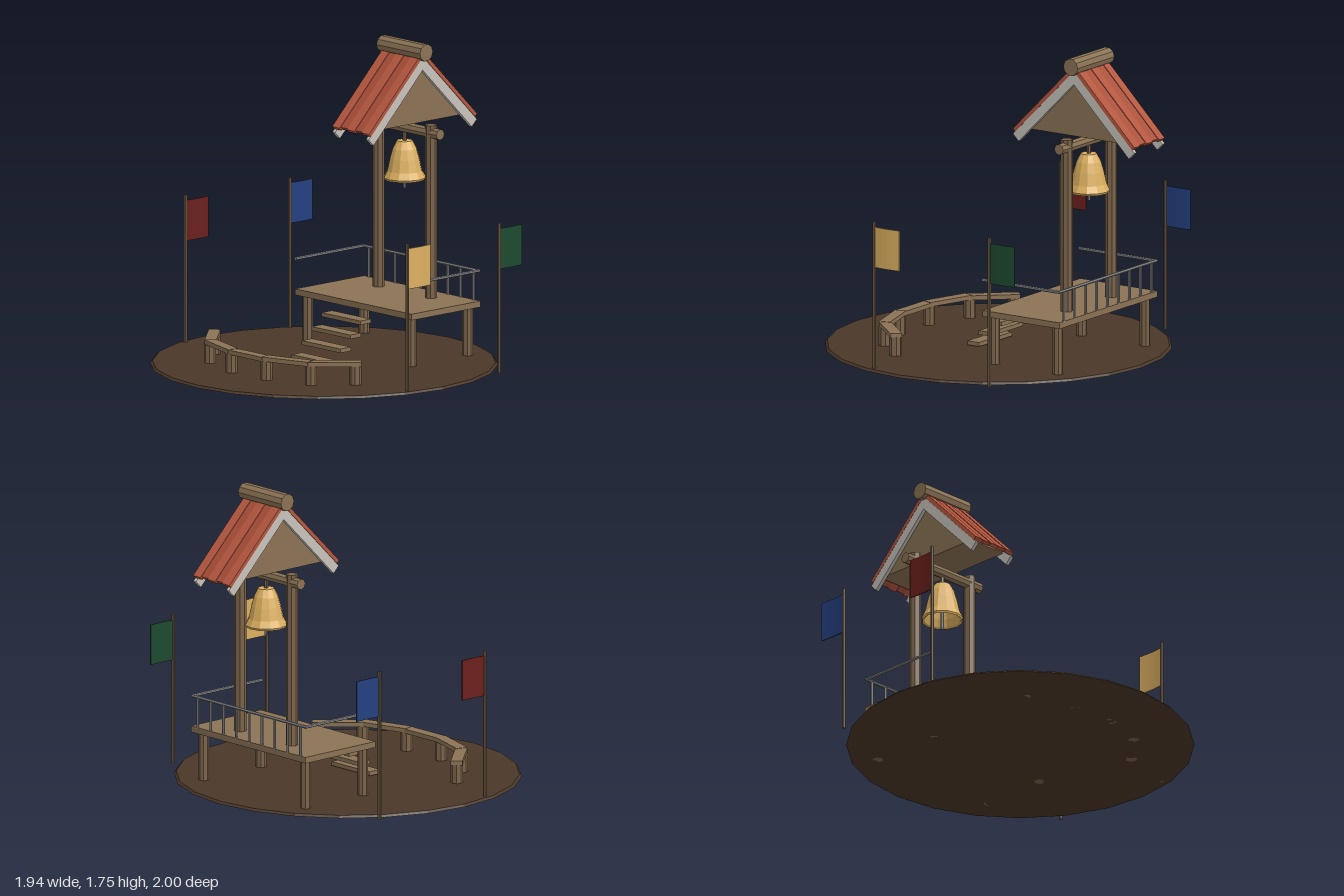
import * as THREE from 'three';

const paint = (color, side = THREE.FrontSide) =>
  new THREE.MeshStandardMaterial({ color, flatShading: true, side });
const wood = paint(0x8b7355), post = paint(0x7a6349), earth = paint(0x4a3728);
const steel = paint(0x8c8c8c), trim = paint(0xc8c4bc), gold = paint(0xdcb060, THREE.DoubleSide);

function add(parent, name, geometry, material, x = 0, y = 0, z = 0) {
  const mesh = new THREE.Mesh(geometry, material);
  mesh.name = name;
  mesh.position.set(x, y, z);
  parent.add(mesh);
  return mesh;
}
const box = (p, name, mat, w, h, d, x, y, z) => add(p, name, new THREE.BoxGeometry(w, h, d), mat, x, y, z);

// Round bar between two points
function bar(parent, name, mat, a, b, r, sides = 8) {
  const from = new THREE.Vector3(...a), to = new THREE.Vector3(...b);
  const dir = to.clone().sub(from);
  const mesh = add(parent, name, new THREE.CylinderGeometry(r, r, dir.length(), sides), mat);
  mesh.position.copy(from).add(to).multiplyScalar(0.5);
  mesh.quaternion.setFromUnitVectors(new THREE.Vector3(0, 1, 0), dir.normalize());
  return mesh;
}

function group(parent, name) {
  const g = new THREE.Group();
  g.name = name;
  parent.add(g);
  return g;
}

const TOWER_Z = -0.585;

function buildPlatform(root) {
  const g = group(root, 'platform');
  box(g, 'deck', wood, 0.945, 0.035, 0.525, 0, 0.3025, -0.457);
  for (const x of [-0.42, 0.42])
    for (const z of [-0.24, -0.67]) bar(g, 'platformLeg', post, [x, 0, z], [x, 0.287, z], 0.03);

  // Railing on the back and both sides
  const y = 0.492, back = -0.712;
  bar(g, 'backRail', steel, [-0.472, y, back], [0.472, y, back], 0.009, 6);
  for (const x of [-0.467, 0.467]) bar(g, 'sideRail', steel, [x, y, -0.19], [x, y, -0.718], 0.009, 6);
  for (let i = -4; i <= 4; i++)
    bar(g, 'railPost', steel, [i * 0.106, 0.31, back], [i * 0.106, y, back], 0.008, 6);

  // Floating steps
  for (let i = 0; i < 4; i++)
    box(g, 'step', wood, 0.315, 0.023, 0.08, 0, 0.03 + i * 0.0685, 0.09 - i * 0.0765);
}

function buildTower(root) {
  const g = group(root, 'bellTower');
  for (const x of [-0.213, 0.213]) bar(g, 'towerPost', post, [x, 0.31, TOWER_Z], [x, 1.3, TOWER_Z], 0.034);
  bar(g, 'crossBeam', wood, [-0.29, 1.255, TOWER_Z], [0.29, 1.255, TOWER_Z], 0.031);

  // Hollow bell and its clapper
  const profile = [[0.001, 1.18], [0.045, 1.18], [0.068, 1.135], [0.084, 1.08], [0.099, 1.01],
    [0.118, 0.972], [0.113, 0.96], [0.102, 0.968], [0.087, 1.01], [0.072, 1.08], [0.035, 1.165], [0.001, 1.165]];
  const bell = new THREE.LatheGeometry(profile.map(p => new THREE.Vector2(...p)).reverse(), 12);
  add(g, 'bell', bell, gold, 0, 0, TOWER_Z);
  bar(g, 'bellHanger', post, [0, 1.17, TOWER_Z], [0, 1.24, TOWER_Z], 0.012, 6);
  bar(g, 'clapper', steel, [0, 0.91, TOWER_Z], [0, 1.17, TOWER_Z], 0.009, 6);
}

function buildRoof(root) {
  const g = group(root, 'roof');
  g.position.set(0, 1.676, TOWER_Z);
  const reds = [paint(0xb5573f), paint(0xa94f39)];

  for (const turn of [0, Math.PI]) {
    const side = group(g, 'roofSide');
    side.rotation.y = turn;
    const slope = group(side, 'roofSlope');
    slope.rotation.x = Math.PI / 4;
    // Planks with uneven ends
    for (let i = 0; i < 5; i++) {
      const len = 0.562 - (i % 2) * 0.008;
      const plank = box(slope, 'roofPlank', reds[i % 2], 0.059, 0.022, len, (i - 2) * 0.0595, 0.011 - (i % 2) * 0.003, len / 2);
      plank.rotation.z = (i % 2 ? 1 : -1) * 0.04;
    }
    // Pale boards along the gable edges
    for (const x of [-0.136, 0.136]) box(slope, 'bargeBoard', trim, 0.022, 0.054, 0.584, x, -0.027, 0.292);
  }

  // Solid gable under the planks
  const tri = new THREE.Shape([[-0.355, -0.376], [0.355, -0.376], [0, -0.021]].map(p => new THREE.Vector2(...p)));
  const gable = new THREE.ExtrudeGeometry(tri, { depth: 0.25, bevelEnabled: false });
  gable.translate(0, 0, -0.125).rotateY(Math.PI / 2);
  add(g, 'gable', gable, wood);

  bar(g, 'ridgeLog', wood, [-0.177, 0.027, 0], [0.177, 0.027, 0], 0.049, 10);
}

function buildBenches(root) {
  const g = group(root, 'benches');
  const half = [[0.59, 0.31], [0.4, 0.52], [0.135, 0.602]];
  const line = [...half.map(([x, z]) => [-x, z]), ...half.slice().reverse()];
  for (let i = 0; i < line.length - 1; i++) {
    const [x0, z0] = line[i], [x1, z1] = line[i + 1];
    const seat = box(g, 'benchSeat', wood, Math.hypot(x1 - x0, z1 - z0) + 0.015, 0.025, 0.066,
      (x0 + x1) / 2, 0.131 + (i % 2) * 0.002, (z0 + z1) / 2);
    seat.rotation.y = -Math.atan2(z1 - z0, x1 - x0);
  }
  for (const [x, z] of [[0.572, 0.328], [0.41, 0.515], [0.142, 0.602]])
    for (const s of [-1, 1]) bar(g, 'benchLeg', post, [s * x, 0, z], [s * x, 0.122, z], 0.034);
}

function buildFlags(root) {
  const flags = [[-0.9, 0.24, 0x6b1f1c], [0.9, 0.24, 0xdcb060], [0.85, -0.507, 0x1d4a30], [-0.85, -0.507, 0x24407f]];
  for (const [x, z, color] of flags) {
    const g = group(root, 'flag');
    bar(g, 'flagPole', post, [x, 0, z], [x, 0.85, z], 0.01);
    // Cloth with a slight billow
    const cloth = new THREE.BoxGeometry(0.006, 0.23, 0.17, 1, 1, 6);
    const p = cloth.attributes.position;
    for (let i = 0; i < p.count; i++) p.setX(i, p.getX(i) + 0.005 * Math.cos(p.getZ(i) / 0.17 * Math.PI));
    add(g, 'flagCloth', cloth, paint(color), x, 0.705, z - 0.087);
  }
}

export function createModel() {
  const root = new THREE.Group();
  root.name = 'bellTowerSquare';
  add(root, 'ground', new THREE.CylinderGeometry(0.955, 0.968, 0.013, 24), earth, 0, 0.0065, 0.03);
  buildPlatform(root);
  buildTower(root);
  buildRoof(root);
  buildBenches(root);
  buildFlags(root);
  return root;
}
